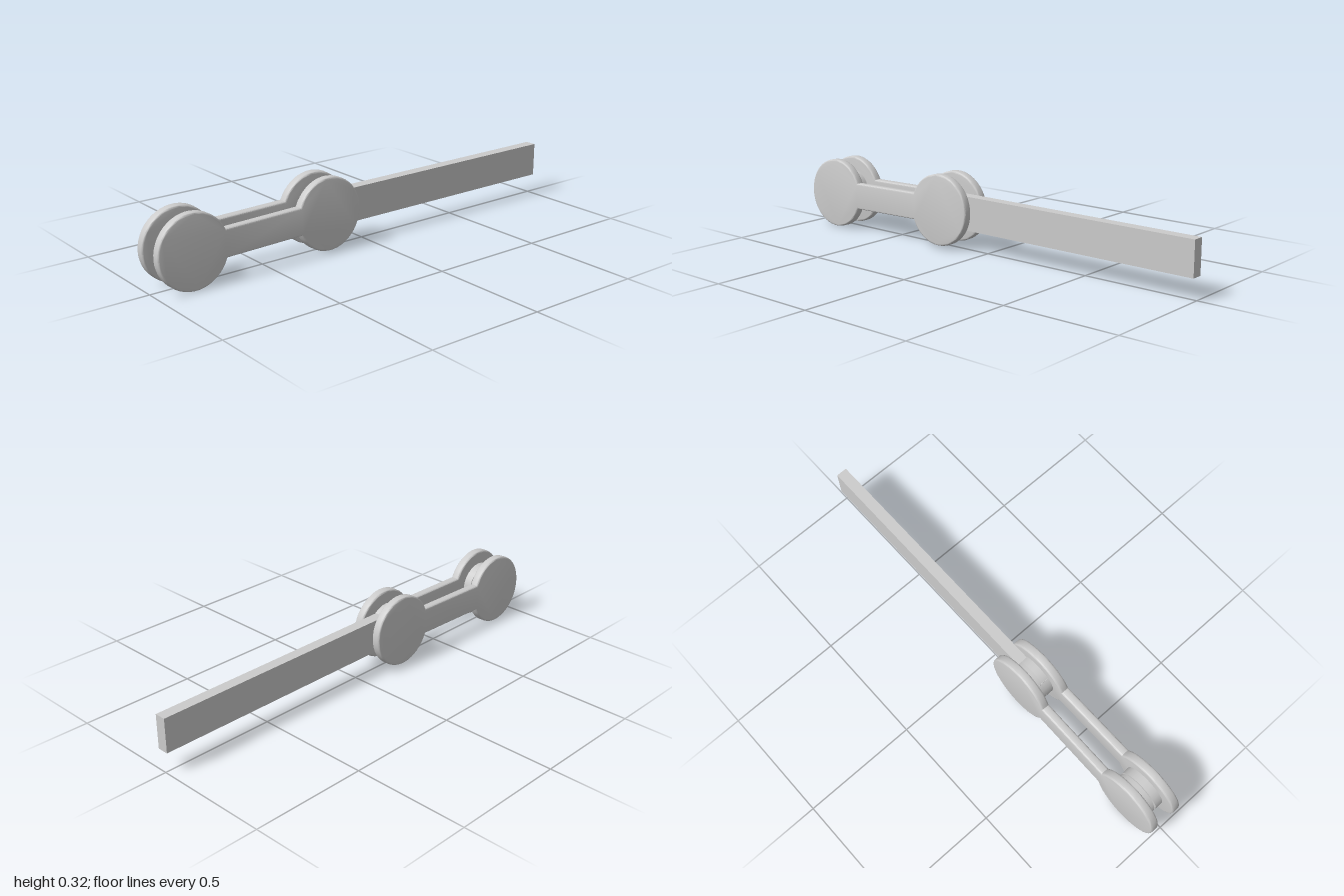
import * as THREE from 'three';
import { toCreasedNormals } from 'three/addons/utils/BufferGeometryUtils.js';

const HALF = 0.315;     // half the distance between the two disc centres
const RADIUS = 0.153;   // disc radius
const NECK = 0.058;     // half height of the strip between the discs
const THICK = 0.038;    // plate thickness
const MID_Z = 0.056;    // distance of a plate's middle from z = 0

const material = new THREE.MeshStandardMaterial({ color: 0xcccccc });

function addMesh(parent, name, geometry) {
  const mesh = new THREE.Mesh(geometry, material);
  mesh.name = name;
  parent.add(mesh);
  return mesh;
}

// Dumbbell-shaped plate: two discs joined by a narrow strip, edges rounded
function plateGeometry() {
  const a = Math.asin(NECK / RADIUS);
  const shape = new THREE.Shape();
  shape.absarc(HALF, 0, RADIUS, -Math.PI + a, Math.PI - a, false);
  shape.absarc(-HALF, 0, RADIUS, a, 2 * Math.PI - a, false);
  shape.closePath();
  const bevel = 0.007;
  const geometry = new THREE.ExtrudeGeometry(shape, {
    depth: THICK - 2 * bevel, curveSegments: 20,
    bevelEnabled: true, bevelThickness: bevel, bevelSize: bevel,
    bevelOffset: -bevel, bevelSegments: 3,
  });
  geometry.translate(0, 0, bevel - THICK / 2);
  return toCreasedNormals(geometry, 0.6);
}

export function createModel() {
  const model = new THREE.Group();
  model.name = 'hingedHandle';

  // Two side plates, leaning slightly together at the top, each with half of both hubs
  const plate = plateGeometry();
  const hubLength = MID_Z - 0.002;
  const hub = new THREE.CylinderGeometry(0.095, 0.095, hubLength, 24);
  hub.rotateX(Math.PI / 2);
  for (const s of [1, -1]) {
    const side = new THREE.Group();
    side.name = s > 0 ? 'frontSide' : 'backSide';
    addMesh(side, 'sidePlate', plate);
    for (const x of [-HALF, HALF]) {
      addMesh(side, x < 0 ? 'outerHub' : 'pivotHub', hub)
        .position.set(x, 0, -s * hubLength / 2);
    }
    side.position.set(-0.532, 0.161, s * MID_Z);
    side.rotation.set(-s * 0.028, s * 0.006, 0.02);
    model.add(side);
  }

  // Long flat bar held between the plates
  addMesh(model, 'bar', new THREE.BoxGeometry(1.28, 0.146, 0.048))
    .position.set(0.36, 0.165, 0.006);

  return model;
}
